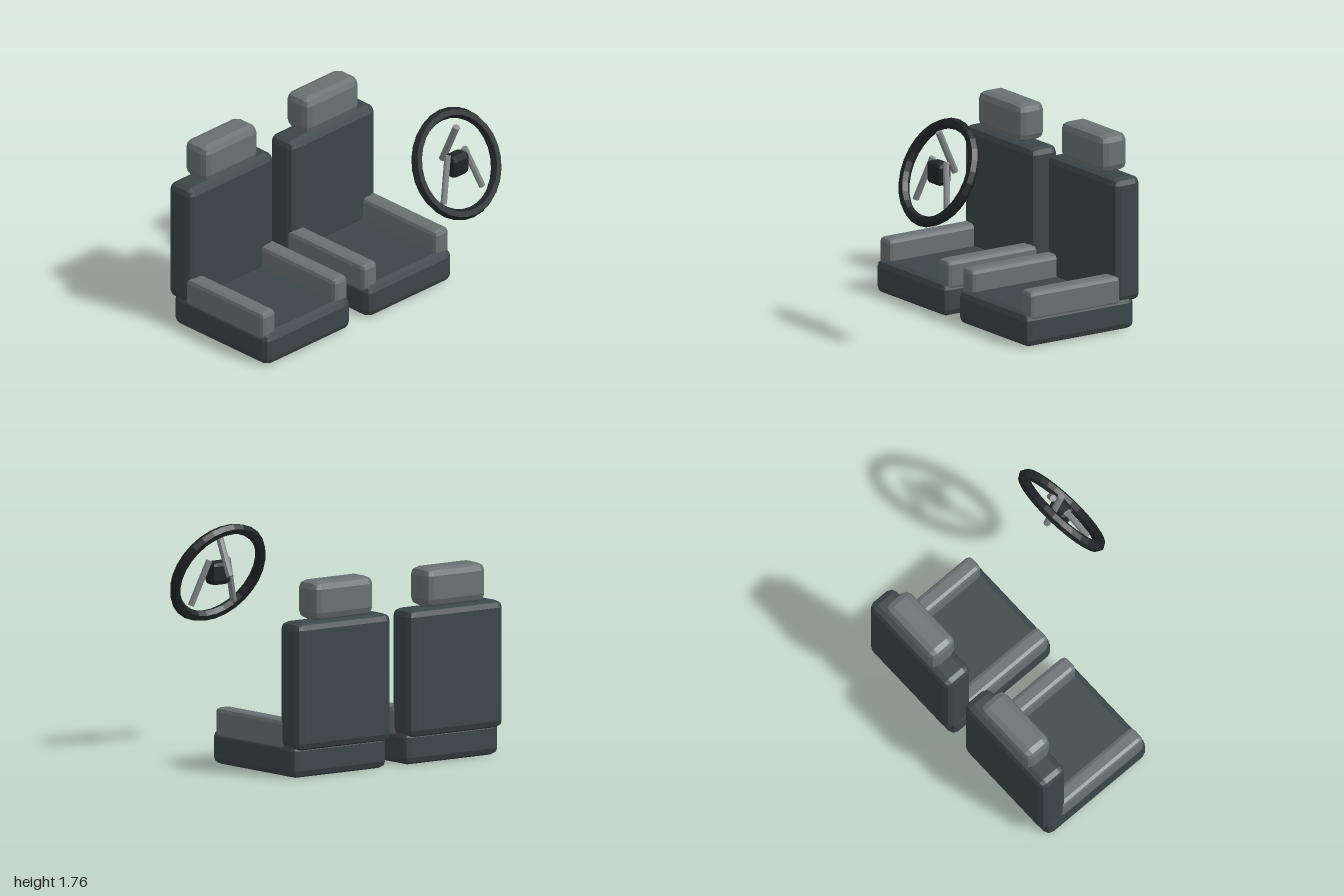
import * as THREE from 'three';
import { RoundedBoxGeometry } from 'three/addons/geometries/RoundedBoxGeometry.js';

const material = (color) => new THREE.MeshStandardMaterial({ color, flatShading: true });
const upholstery = material(0x3b4648);
const trim = material(0x697173);
const rubber = material(0x212527);
const metal = material(0x84898b);

// Bevelled box given by its extents along each axis
function block(name, mat, [x0, x1], [y0, y1], [z0, z1], bevel) {
  const mesh = new THREE.Mesh(new RoundedBoxGeometry(x1 - x0, y1 - y0, z1 - z0, 1, bevel), mat);
  mesh.position.set((x0 + x1) / 2, (y0 + y1) / 2, (z0 + z1) / 2);
  mesh.name = name;
  return mesh;
}

// Round bar between two points
function rod(name, from, to, radius) {
  const a = new THREE.Vector3(...from), b = new THREE.Vector3(...to);
  const dir = b.clone().sub(a);
  const mesh = new THREE.Mesh(new THREE.CylinderGeometry(radius, radius, dir.length(), 8), metal);
  mesh.position.copy(a).add(b).multiplyScalar(0.5);
  mesh.quaternion.setFromUnitVectors(new THREE.Vector3(0, 1, 0), dir.normalize());
  mesh.name = name;
  return mesh;
}

function createSeat(name, x) {
  const seat = new THREE.Group();
  seat.name = name;
  seat.position.x = x;
  seat.add(
    block('cushion', upholstery, [-0.455, 0.455], [0, 0.265], [-0.83, 0.185], 0.055),
    block('backrest', upholstery, [-0.455, 0.455], [0.215, 1.195], [-0.885, -0.64], 0.055),
    block('headrest', trim, [-0.288, 0.288], [1.2, 1.5], [-0.885, -0.64], 0.06),
    block('leftBolster', trim, [0.312, 0.455], [0.2, 0.438], [-0.7, 0.145], 0.035),
    block('rightBolster', trim, [-0.455, -0.312], [0.2, 0.438], [-0.7, 0.145], 0.035)
  );
  return seat;
}

function createSteeringWheel() {
  const wheel = new THREE.Group();
  wheel.name = 'steeringWheel';
  wheel.position.set(0.54, 1.365, 0.677);

  // Rim leans back at the top
  const rim = new THREE.Mesh(new THREE.TorusGeometry(0.391, 0.043, 6, 28), rubber);
  rim.name = 'rim';
  rim.rotation.x = -0.45;

  wheel.add(
    rim,
    block('hub', rubber, [-0.088, 0.088], [-0.09, 0.09], [-0.062, 0.062], 0.035),
    rod('upperSpoke', [0, -0.015, -0.15], [0, 0.317, 0], 0.028)
  );
  // Lower spokes mirrored about the hub
  for (const [name, s] of [['leftSpoke', 1], ['rightSpoke', -1]]) {
    wheel.add(rod(name, [s * 0.088, 0.1, -0.006], [s * 0.206, -0.243, 0.069], 0.026));
  }
  return wheel;
}

export function createModel() {
  const model = new THREE.Group();
  model.name = 'seatsAndSteeringWheel';
  model.add(createSeat('leftSeat', 0.54), createSeat('rightSeat', -0.545), createSteeringWheel());
  return model;
}
